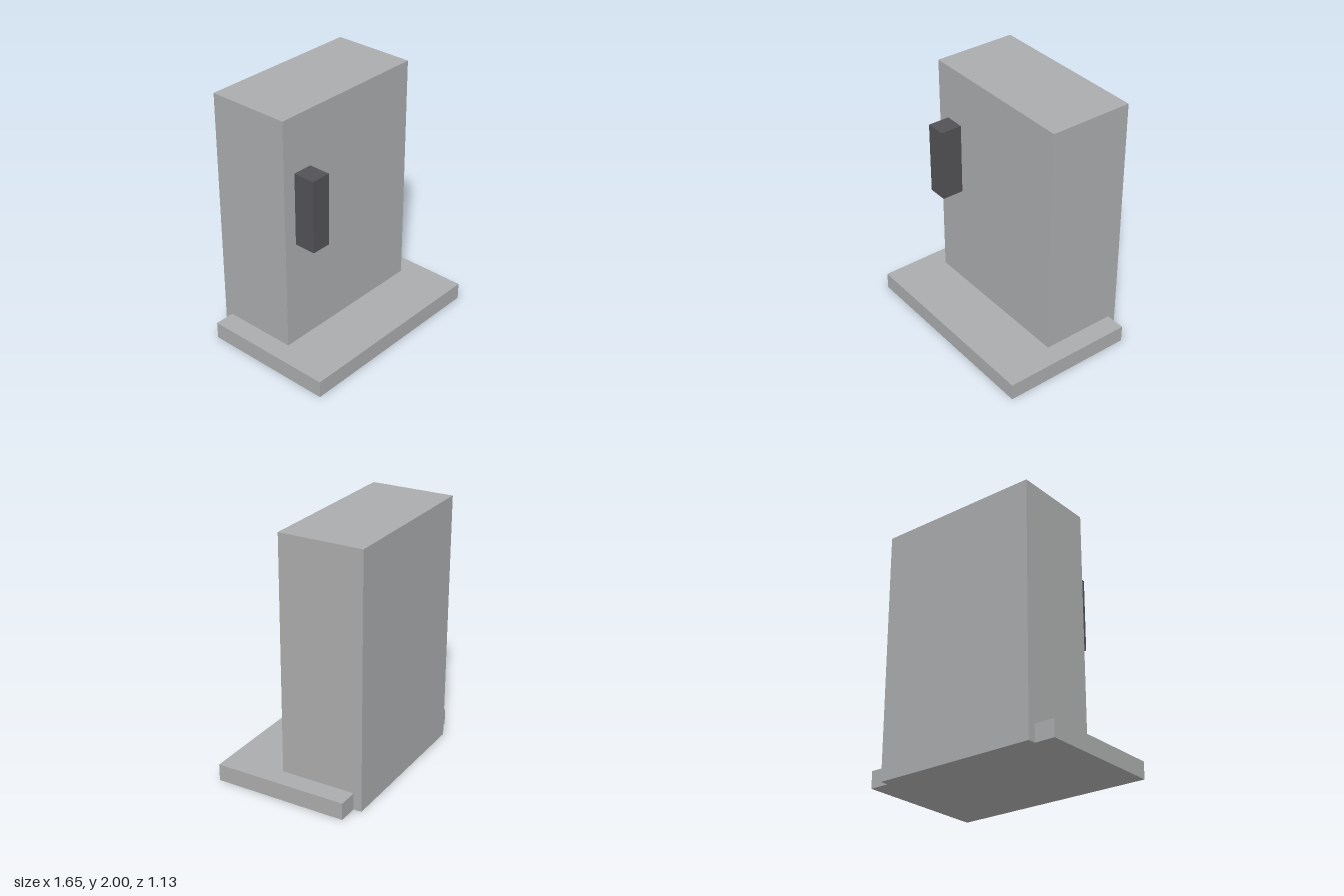
import * as THREE from 'three';

const grey = new THREE.MeshStandardMaterial({ color: 0xaaabac });
grey.name = 'light grey';
const dark = new THREE.MeshStandardMaterial({ color: 0x525155 });
dark.name = 'dark grey';

// Box given by its lower and upper corners
function block(name, material, [x0, y0, z0], [x1, y1, z1]) {
  const mesh = new THREE.Mesh(new THREE.BoxGeometry(x1 - x0, y1 - y0, z1 - z0), material);
  mesh.position.set((x0 + x1) / 2, (y0 + y1) / 2, (z0 + z1) / 2);
  mesh.name = name;
  return mesh;
}

export function createModel() {
  const model = new THREE.Group();
  model.name = 'cabinet';
  model.add(
    // Tall body, reaching the floor and slightly behind the base slab
    block('body', grey, [-0.665, 0, -0.565], [0.665, 2, 0.1]),
    // Wide floor slab
    block('base', grey, [-0.825, 0, -0.5], [0.825, 0.135, 0.565]),
    // Upright handle on the front
    block('handle', dark, [-0.56, 0.98, 0.1], [-0.4, 1.56, 0.275]),
  );
  return model;
}
